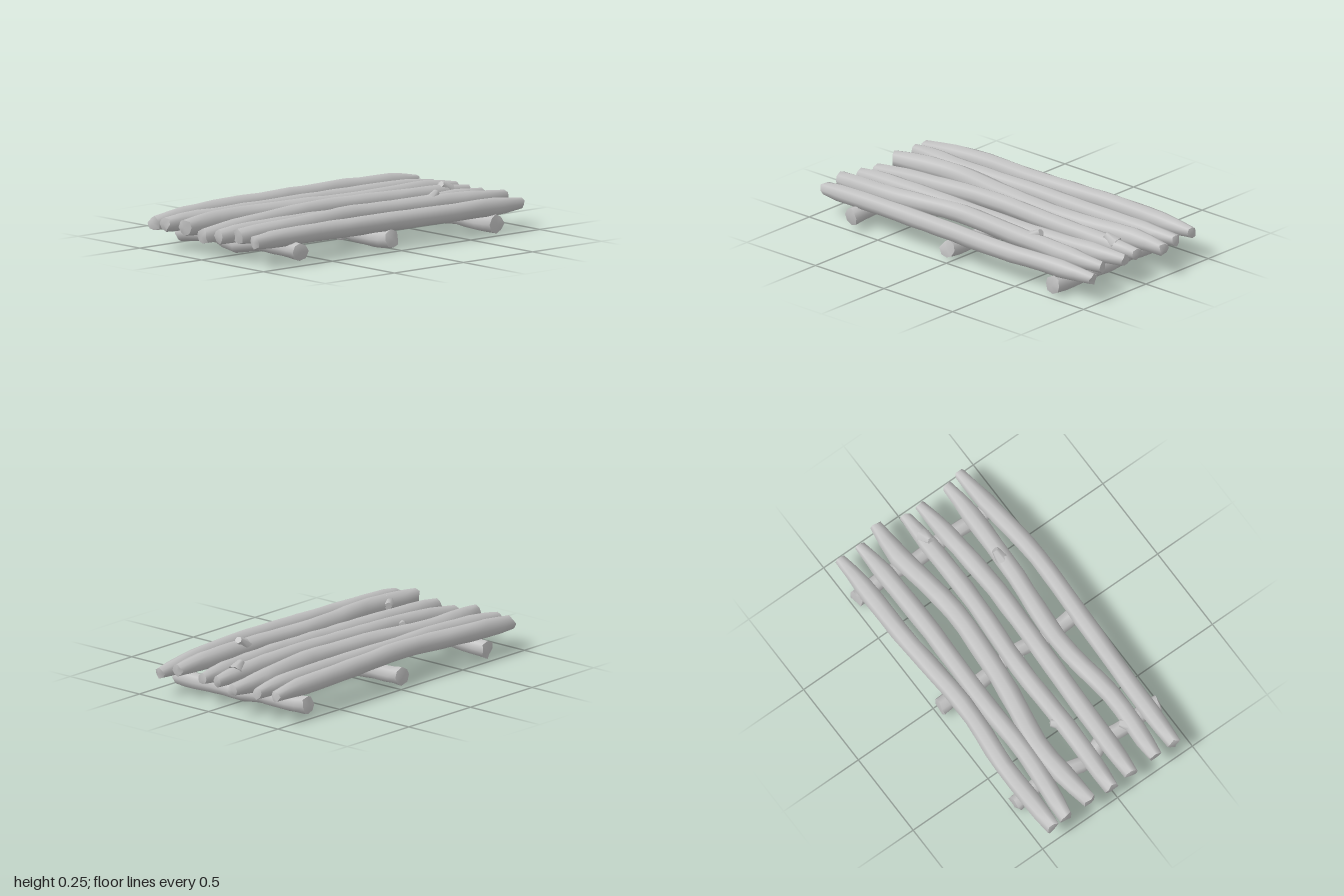
import * as THREE from 'three';

const SIDES = 8;

// small seeded generator for the irregular bark
function makeRandom(seed) {
  let s = seed * 7919 + 17;
  return () => {
    s = (s * 16807) % 2147483647;
    return s / 2147483647 - 0.5;
  };
}

// crooked branch through the points, smooth sides and blunt, chipped ends
function branchGeometry(points, radiusAt, seed) {
  const random = makeRandom(seed);
  const up = new THREE.Vector3(0, 1, 0);
  const positions = [];
  const indices = [];
  const last = points.length - 1;
  const rings = points.map((p, i) => {
    const isEnd = i === 0 || i === last;
    const tangent = points[Math.min(i + 1, last)].clone().sub(points[Math.max(i - 1, 0)]).normalize();
    const side = up.clone().cross(tangent).normalize();
    const lift = tangent.clone().cross(side);
    const ring = [];
    for (let k = 0; k < SIDES; k++) {
      const a = (k / SIDES) * Math.PI * 2;
      const r = radiusAt(i / last) * (1 + random() * (isEnd ? 0.25 : 0.1));
      const v = p.clone().addScaledVector(side, Math.cos(a) * r).addScaledVector(lift, Math.sin(a) * r);
      if (isEnd) v.addScaledVector(tangent, random() * 0.02);
      ring.push(v);
      positions.push(v.x, v.y, v.z);
    }
    return ring;
  });
  for (let i = 0; i < last; i++) {
    for (let k = 0; k < SIDES; k++) {
      const a = i * SIDES + k;
      const b = i * SIDES + (k + 1) % SIDES;
      indices.push(a, b, a + SIDES, b, b + SIDES, a + SIDES);
    }
  }
  // slightly domed caps on their own vertices, for sharp rims
  for (const [i, inner] of [[0, 1], [last, last - 1]]) {
    const base = positions.length / 3;
    const outward = points[i].clone().sub(points[inner]).normalize();
    const tip = points[i].clone().addScaledVector(outward, 0.01);
    for (const v of [...rings[i], tip]) positions.push(v.x, v.y, v.z);
    for (let k = 0; k < SIDES; k++) {
      const a = base + k;
      const b = base + (k + 1) % SIDES;
      indices.push(base + SIDES, i === 0 ? b : a, i === 0 ? a : b);
    }
  }
  const geometry = new THREE.BufferGeometry();
  geometry.setAttribute('position', new THREE.Float32BufferAttribute(positions, 3));
  geometry.setIndex(indices);
  geometry.computeVertexNormals();
  return geometry;
}

// deck poles: x at each shared z station, height at back/middle/front, back end z, radius
const POLE_Z = [-0.8, -0.35, 0.15, 0.58, 0.975];
const POLES = [
  { x: [-0.43, -0.425, -0.42, -0.393, -0.422, -0.41], y: [0.16, 0.183, 0.148], back: -0.945, r: 0.053 },
  { x: [-0.3, -0.29, -0.28, -0.29, -0.285, -0.325], y: [0.155, 0.164, 0.157], back: -0.945, r: 0.053 },
  { x: [-0.16, -0.168, -0.113, -0.142, -0.202, -0.165], y: [0.155, 0.168, 0.157], back: -0.985, r: 0.058 },
  { x: [0, 0, 0.005, -0.023, -0.013, -0.02], y: [0.155, 0.18, 0.125], back: -0.935, r: 0.052 },
  { x: [0.1, 0.113, 0.145, 0.135, 0.12, 0.11], y: [0.155, 0.154, 0.145], back: -0.935, r: 0.053 },
  { x: [0.28, 0.287, 0.275, 0.24, 0.287, 0.27], y: [0.165, 0.182, 0.165], back: -0.935, r: 0.053 },
  { x: [0.385, 0.395, 0.435, 0.42, 0.405, 0.4], y: [0.135, 0.158, 0.15], back: -0.965, r: 0.051 },
];

// cross beams underneath: evenly spaced heights and z from left edge to right edge, right end
const BEAMS = [
  { y: [0.065, 0.075, 0.085, 0.087, 0.062, 0.085, 0.087, 0.083, 0.08],
    z: [0.72, 0.71, 0.71, 0.74, 0.755, 0.7, 0.72, 0.71, 0.715], end: 0.48 },
  { y: [0.07, 0.065, 0.06, 0.055, 0.067, 0.06, 0.06, 0.055, 0.065],
    z: [0.03, 0.03, 0.04, 0.03, 0.02, 0.02, 0.05, 0.035, 0.03], end: 0.455 },
  { y: [0.075, 0.07, 0.073, 0.067, 0.053, 0.06, 0.057, 0.053, 0.06],
    z: [-0.73, -0.74, -0.745, -0.725, -0.73, -0.74, -0.73, -0.73, -0.73], end: 0.45 },
];

// cut twig stubs: base point, tip point
const STUBS = [
  [[-0.015, 0.16, 0.53], [-0.075, 0.175, 0.49]],
  [[0.27, 0.185, -0.4], [0.257, 0.24, -0.47]],
  [[0.27, 0.175, 0.75], [0.225, 0.175, 0.71]],
  [[0.002, 0.18, -0.78], [0.012, 0.222, -0.72]],
  [[0.04, 0.055, 0.025], [0.045, 0.01, 0.035]],
];

function poleGeometry({ x, y, back, r }, seed) {
  const stations = [back, ...POLE_Z].map((z, i) => {
    const height = THREE.MathUtils.lerp(y[1], z < 0 ? y[0] : y[2], z * z);
    return new THREE.Vector3(x[i], height, z);
  });
  const points = new THREE.CatmullRomCurve3(stations).getSpacedPoints(18);
  // slim back tip, blunter front tip
  const radiusAt = (t) => r * Math.min(1, 0.6 + t * 4, 0.76 + (1 - t) * 3);
  return branchGeometry(points, radiusAt, seed);
}

function beamGeometry({ y, z, end }, seed) {
  const stations = y.map((height, i) =>
    new THREE.Vector3(THREE.MathUtils.lerp(-0.48, end, i / (y.length - 1)), height, z[i]));
  const points = new THREE.CatmullRomCurve3(stations).getSpacedPoints(14);
  // slightly flared ends
  const radiusAt = (t) => 0.046 + 0.004 * Math.abs(2 * t - 1) ** 4;
  return branchGeometry(points, radiusAt, seed);
}

export function createModel() {
  const model = new THREE.Group();
  model.name = 'logRaft';
  const wood = new THREE.MeshStandardMaterial({ color: 0xc0c0c0 });
  wood.name = 'grey wood';

  const add = (geometry, name) => {
    const mesh = new THREE.Mesh(geometry, wood);
    mesh.name = name;
    model.add(mesh);
    return mesh;
  };

  POLES.forEach((pole, i) => add(poleGeometry(pole, i + 1), `deckPole${i + 1}`));
  BEAMS.forEach((beam, i) => add(beamGeometry(beam, i + 20), `crossBeam${i + 1}`));

  STUBS.forEach(([from, to], i) => {
    const a = new THREE.Vector3(...from);
    const b = new THREE.Vector3(...to);
    const direction = b.clone().sub(a);
    const stub = add(new THREE.CylinderGeometry(0.02, 0.045, direction.length(), 7), `twigStub${i + 1}`);
    stub.position.copy(a).lerp(b, 0.5);
    stub.quaternion.setFromUnitVectors(new THREE.Vector3(0, 1, 0), direction.normalize());
  });

  return model;
}
